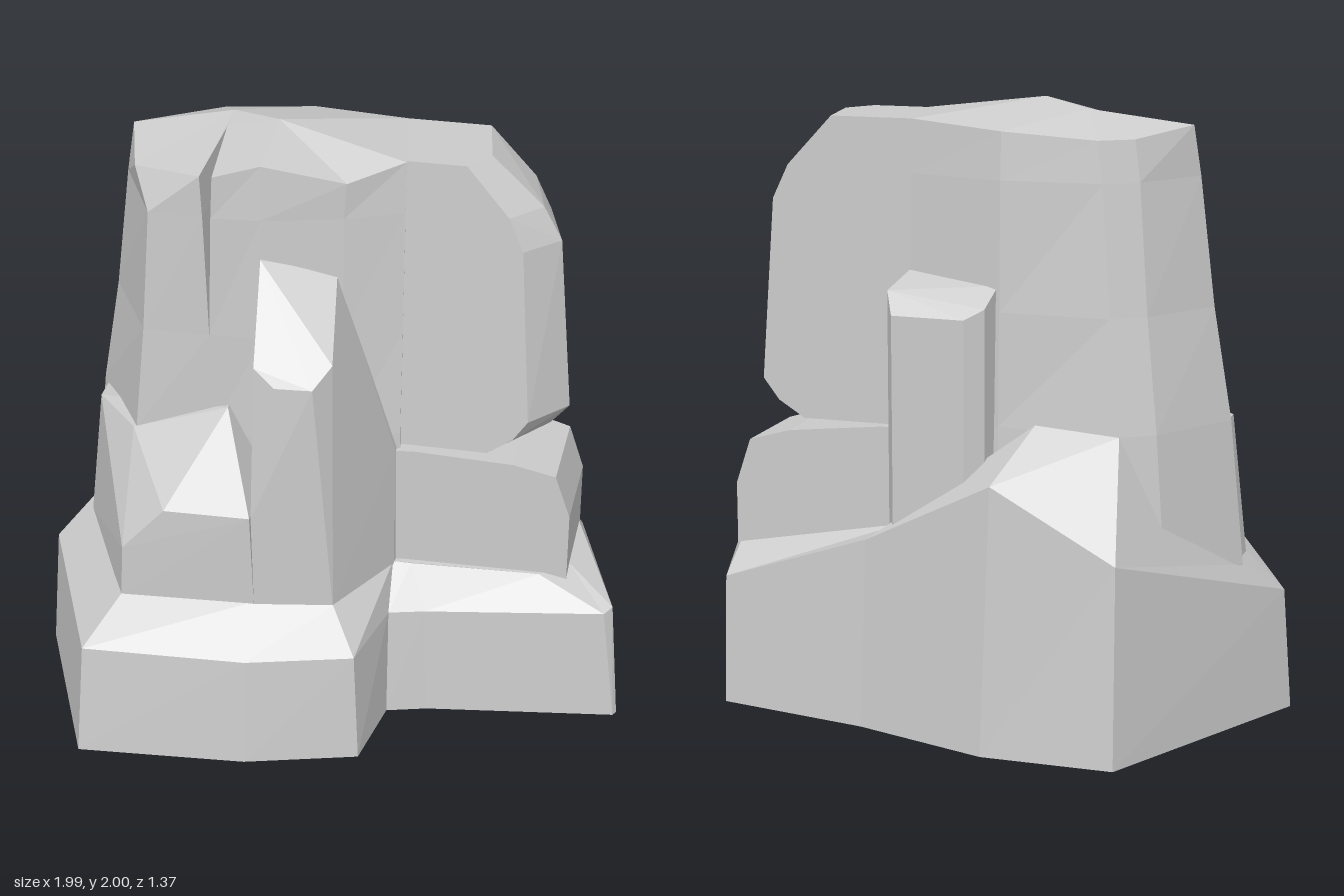
import * as THREE from 'three';
import { ConvexGeometry } from 'three/addons/geometries/ConvexGeometry.js';

const stone = new THREE.MeshStandardMaterial({ color: 0xcccccc, flatShading: true });
const lerp = THREE.MathUtils.lerp;

// Skin between rings of equal length; caps close the two ends if wanted
function loft(rings, capped) {
  const pos = [];
  const loops = rings.map((ring) => ring.map((p) => new THREE.Vector3(...p)));
  const tri = (a, b, c) => {
    const area = b.clone().sub(a).cross(c.clone().sub(a)).length();
    if (area > 1e-7) for (const p of [a, b, c]) pos.push(p.x, p.y, p.z);
  };
  for (let k = 0; k + 1 < loops.length; k++) {
    loops[k].forEach((a, i) => {
      const j = (i + 1) % loops[k].length;
      tri(a, loops[k][j], loops[k + 1][j]);
      tri(a, loops[k + 1][j], loops[k + 1][i]);
    });
  }
  const cap = (loop, down) => {
    const pts = loop.filter((p, i) => p.distanceTo(loop[(i + 1) % loop.length]) > 1e-4);
    const flat = pts.map((p) => new THREE.Vector2(p.x, -p.z));
    for (const [a, b, c] of THREE.ShapeUtils.triangulateShape(flat, [])) {
      tri(pts[a], pts[down ? c : b], pts[down ? b : c]);
    }
  };
  if (capped) {
    cap(loops[0], true);
    cap(loops[loops.length - 1], false);
  }
  const g = new THREE.BufferGeometry();
  g.setAttribute('position', new THREE.Float32BufferAttribute(pos, 3));
  g.computeVertexNormals();
  return g;
}

const hull = (points) => new ConvexGeometry(points.map((p) => new THREE.Vector3(...p)));

// Plinth: foot outline [x, z], height of the wall's upper edge, shoulder [x, y, z]
function baseGeometry() {
  const columns = [
    [[-1, .04], .42, [-.87, .53, -.12]],
    [[-.72, .68], .41, [-.61, .53, .48]],
    [[-.17, .63], .4, [-.17, .54, .45]],
    [[.19, .52], .4, [.08, .53, .4]],
    [[.23, .24], .4, [.22, .53, .1]],
    [[.36, .2], .4, [.28, .53, .1]],
    [[.98, .1], .41, [.7, .5, .03]],
    [[.99, .08], .42, [.79, .5, -.06]],
    [[.79, -.46], .43, [.78, .52, -.33]],
    [[.28, -.55], .62, [.2, .64, -.38]],
    [[-.17, -.69], .86, [-.28, 1.02, -.47]],
    [[-.6, -.69], .64, [-.55, 1, -.47]],
  ];
  const foot = columns.map(([[x, z]]) => [x, .015 + .02 * z, z]);
  const edge = columns.map(([[x, z], y, s]) => [lerp(x, s[0], .18), y, lerp(z, s[2], .18)]);
  return loft([foot, edge, columns.map((c) => c[2])], true);
}

// Tall slab: each column gives [x, z] at mid height, [x, z] near the top, [x, y, z] on the rim
function slabGeometry() {
  const columns = [
    [[-.82, -.12], [-.71, -.12], [-.69, 1.93, -.14]],
    [[-.62, .2], [-.56, .18], [-.62, 1.89, .1]],
    [[-.2, .19], [-.2, .17], [-.2, 1.95, .16]],
    [[.05, .13], [.05, .1], [.06, 1.89, .1]],
    [[.23, .06], [.23, .02], [.23, 1.94, .01]],
    [[.18, -.36], [.17, -.34], [.17, 1.94, -.33]],
    [[-.15, -.44], [-.15, -.42], [-.15, 1.92, -.41]],
    [[-.55, -.47], [-.47, -.4], [-.45, 1.9, -.39]],
    [[-.65, -.4], [-.57, -.33], [-.55, 1.9, -.32]],
  ];
  // the crack is a wedge cut into the front, open by t
  const crack = (ring, y, t) => {
    const wedge = [-1, 0, 1].map((s) => [-.37 + s * .02 * t, y + (s ? 0 : .05 * t), s ? .185 : .185 - .28 * t]);
    return [...ring.slice(0, 2), ...wedge, ...ring.slice(2)];
  };
  const section = (y, f, grow, t) => crack(columns.map(([a, b]) =>
    [lerp(a[0], b[0], f) * grow, y, lerp(a[1], b[1], f) * grow]), y, t);
  const rim = crack(columns.map((c) => c[2]), 1.91, 1);
  // the top closes on a short crest
  const crest = rim.map((p, i) => (i > 3 && i < 9 ? [-.2, 2, -.1] : [-.37, 1.975, -.2]));
  return loft([
    section(.53, 0, 1.06, 0), section(1, 0, 1, 0), section(1.36, .55, 1, 0), section(1.77, 1, 1, .65), rim, crest,
  ], false);
}

// Overhanging head: its silhouette, narrowed towards the front and back
function overhangGeometry() {
  const outline = [
    [.15, 1.94], [.48, 1.94], [.65, 1.78], [.71, 1.67], [.76, 1.08], [.7, 1.01], [.6, .955], [.15, .955],
  ];
  const slice = (narrow, zAt) => outline.map(([x, y]) => [.15 + (x - .15) * narrow, y, zAt(y)]);
  return hull([
    ...slice(.81, (y) => .05 * (1.94 - y)), ...slice(1, () => -.1), ...slice(.88, () => -.33),
  ]);
}

// Block below the head: silhouette carried from the slanting front to the back
function lowerBlockGeometry() {
  const outline = [[.18, .945], [.28, .945], [.6, .91], [.74, .87], [.79, .72], [.79, .48], [.18, .48]];
  return hull(outline.flatMap(([x, y]) => [[x, y, .11 - .13 * x], [x, y, -.33]]));
}

// Hull of the visible corners, rooted in the slab at z = 0
const rooted = (points) => hull([...points, ...points.map(([x, y]) => [x, y, 0])]);

// Broken column: its top corners and the same corners dropped to the foot
function columnGeometry() {
  const top = [
    [-.14, 1.44, -.41], [-.125, 1.38, -.5], [-.07, 1.35, -.54],
    [.17, 1.35, -.53], [.2, 1.42, -.48], [.17, 1.47, -.33],
  ];
  return hull([...top, ...top.map(([x, , z]) => [x, .55, z])]);
}

export function createModel() {
  const group = new THREE.Group();
  const add = (name, geometry) => {
    const mesh = new THREE.Mesh(geometry, stone);
    mesh.name = name;
    group.add(mesh);
  };

  add('base', baseGeometry());
  add('slab', slabGeometry());
  add('overhang', overhangGeometry());
  add('lowerBlock', lowerBlockGeometry());

  // Front-left ledge with its sloping top
  add('frontLedge', rooted([
    [-.63, 1, .2], [-.31, 1.11, .2], [-.18, .86, .46], [-.46, .86, .47], [-.6, .71, .48],
    [-.61, .52, .48], [-.17, .52, .455], [-.85, .54, -.1], [-.8, .99, -.1],
  ]));

  // Leaning spire
  add('frontSpire', rooted([
    [-.2, 1.64, .18], [.03, 1.58, .1], [-.17, 1.38, .41], [-.1, 1.33, .435], [.02, 1.33, .425], [.07, 1.39, .36],
    [-.175, .86, .46], [-.17, .52, .455], [.08, .52, .4], [.22, .95, .09], [.225, .52, .1],
  ]));

  add('backColumn', columnGeometry());
  return group;
}
